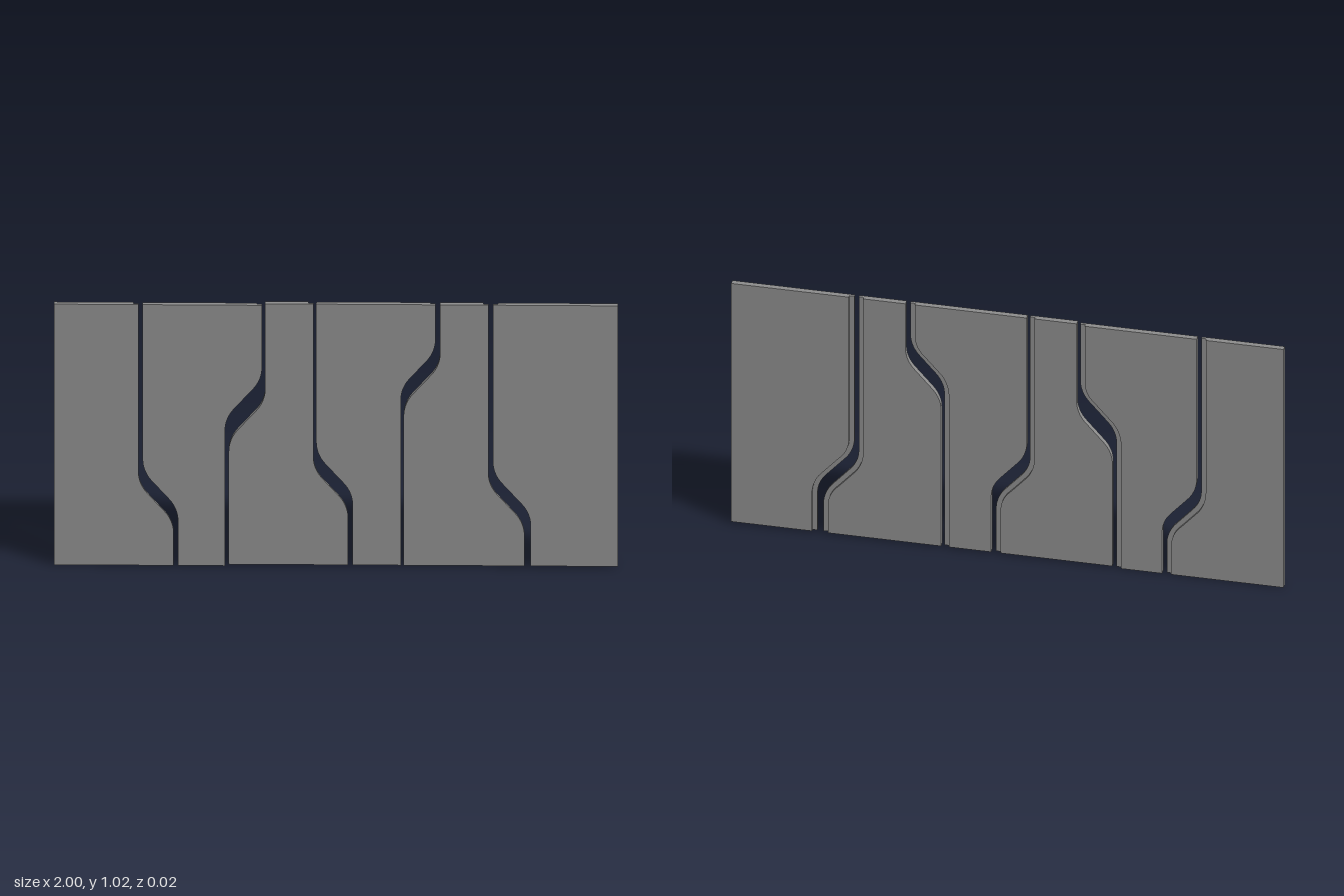
import * as THREE from 'three';

const HALF = 0.01;        // half the panel thickness
const REBATE = 0.018;     // width of the step cut into the back along a seam
const RADIUS = 0.13;      // radius of the bends
const ANGLE = 0.715;      // slant of the diagonal run
const ROWS = 128;

// x as a function of y: vertical, bend, diagonal, bend, vertical
function sEdge(xTop, xBottom, yMid) {
  const half = Math.abs(xTop - xBottom) / 2;
  const run = (half - RADIUS * (1 - Math.cos(ANGLE))) / Math.tan(ANGLE);
  const end = run + RADIUS * Math.sin(ANGLE);
  return (y) => {
    const t = Math.abs(y - yMid);
    let off = half;
    if (t < run) off = t * Math.tan(ANGLE);
    else if (t < end) off = half - RADIUS + Math.sqrt(RADIUS ** 2 - (end - t) ** 2);
    return (xTop + xBottom) / 2 + Math.sign(y - yMid) * Math.sign(xTop - xBottom) * off;
  };
}

// each seam: [edge of the panel on its -x side, edge of the panel on its +x side]
const seams = [
  [sEdge(-0.70, -0.575, 0.245), sEdge(-0.685, -0.56, 0.295)],
  [sEdge(-0.262, -0.393, 0.652), sEdge(-0.251, -0.38, 0.568)],
  [sEdge(-0.08, 0.043, 0.308), sEdge(-0.07, 0.059, 0.363)],
  [sEdge(0.353, 0.23, 0.77), sEdge(0.369, 0.24, 0.711)],
  [sEdge(0.54, 0.668, 0.246), sEdge(0.556, 0.69, 0.288)],
];

// step width measured along x, widened where the edge slants
function rebateAt(edge, y) {
  const slope = (edge(y + 0.002) - edge(y - 0.002)) / 0.004;
  return REBATE * Math.hypot(1, slope);
}

function panelGeometry(left, right, y0, y1, cutLeft, cutRight) {
  const rings = [];
  for (let j = 0; j <= ROWS; j++) {
    const y = y0 + ((y1 - y0) * j) / ROWS;
    const a = left(y), b = right(y);
    const a2 = cutLeft ? a + rebateAt(left, y) : a;
    const b2 = cutRight ? b - rebateAt(right, y) : b;
    rings.push([
      [a, y, HALF], [b, y, HALF], [b, y, 0], [b2, y, 0],
      [b2, y, -HALF], [a2, y, -HALF], [a2, y, 0], [a, y, 0],
    ]);
  }
  const pos = [], index = [];
  // one separate strip per side keeps the long edges sharp
  for (let i = 0; i < 8; i++) {
    if ((i === 2 && !cutRight) || (i === 6 && !cutLeft)) continue; // no step here
    const base = pos.length / 3;
    rings.forEach((r) => pos.push(...r[i], ...r[(i + 1) % 8]));
    for (let j = 0; j < ROWS; j++) {
      const k = base + j * 2;
      index.push(k, k + 1, k + 3, k, k + 3, k + 2);
    }
  }
  // top and bottom caps
  const cap = [0, 1, 2, 0, 2, 7, 6, 3, 4, 6, 4, 5];
  [[rings[ROWS], cap], [rings[0], [...cap].reverse()]].forEach(([ring, faces]) => {
    const base = pos.length / 3;
    ring.forEach((p) => pos.push(...p));
    faces.forEach((f) => index.push(base + f));
  });
  const geo = new THREE.BufferGeometry();
  geo.setAttribute('position', new THREE.Float32BufferAttribute(pos, 3));
  geo.setIndex(index);
  geo.computeVertexNormals();
  return geo;
}

export function createModel() {
  const group = new THREE.Group();
  group.name = 'panelWall';
  const material = new THREE.MeshStandardMaterial({ color: 0x8b8b8b });
  const last = seams.length;
  for (let i = 0; i <= last; i++) {
    const left = i === 0 ? () => -1 : seams[i - 1][1];
    const right = i === last ? () => 1 : seams[i][0];
    const lift = i < 2 ? 0 : 0.006; // the first two panels hang slightly lower
    // every panel is stepped on its +x seam, the last one on its -x seam
    const mesh = new THREE.Mesh(
      panelGeometry(left, right, lift, lift + 1.018, i === last, i < last), material);
    mesh.name = `wallPanel${i + 1}`;
    group.add(mesh);
  }
  return group;
}
